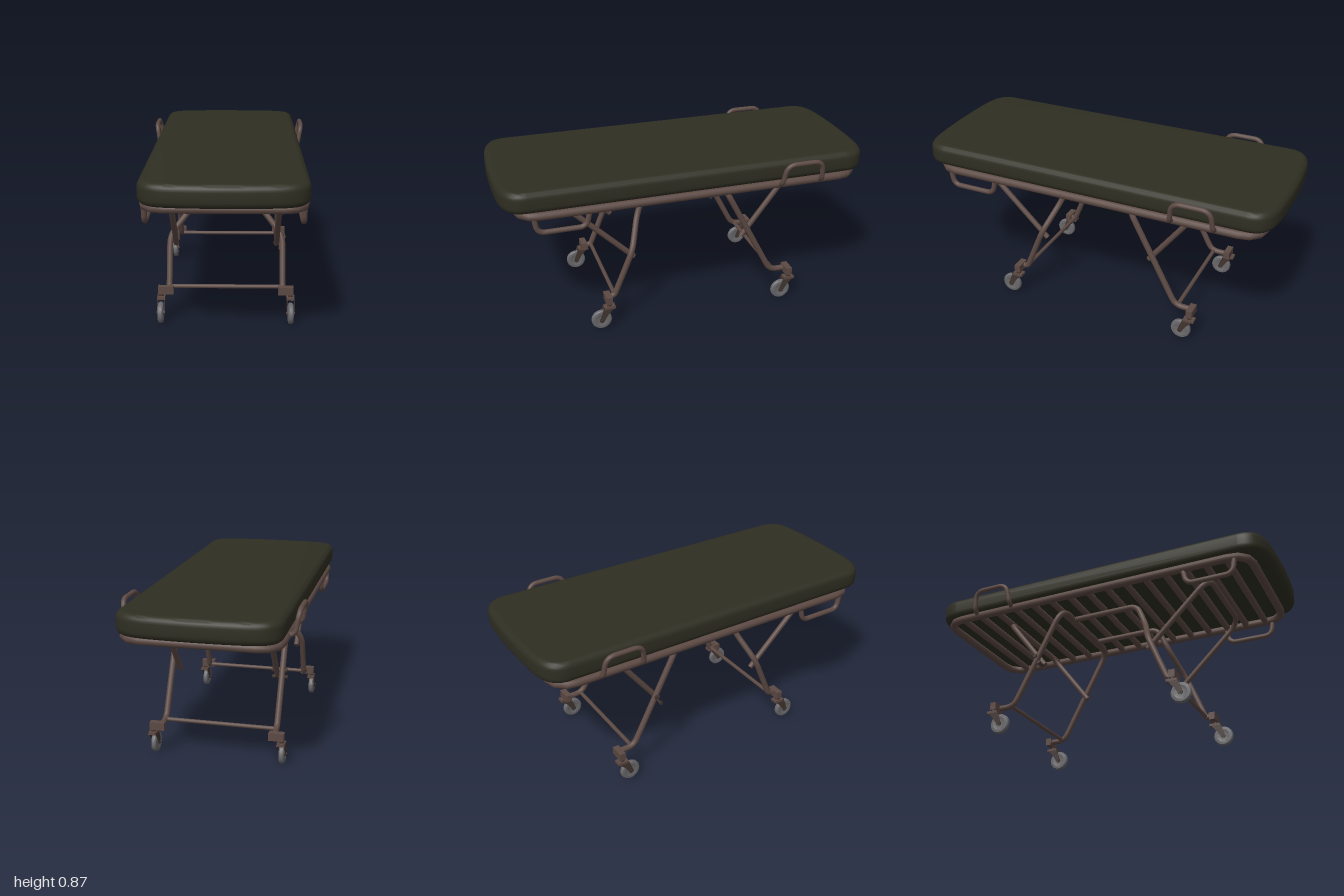
import * as THREE from 'three';
import { mergeGeometries, toCreasedNormals } from 'three/addons/utils/BufferGeometryUtils.js';

const material = (name, color) => {
  const m = new THREE.MeshStandardMaterial({ color });
  m.name = name;
  return m;
};

// Polyline with rounded corners
function roundedPath(points, bend) {
  const p = points.map((a) => new THREE.Vector3(...a));
  const path = new THREE.CurvePath();
  let from = p[0];
  for (let i = 1; i < p.length - 1; i++) {
    const toPrev = p[i - 1].clone().sub(p[i]);
    const toNext = p[i + 1].clone().sub(p[i]);
    const r = Math.min(bend, toPrev.length() * 0.48, toNext.length() * 0.48);
    const a = p[i].clone().addScaledVector(toPrev.normalize(), r);
    const b = p[i].clone().addScaledVector(toNext.normalize(), r);
    path.add(new THREE.LineCurve3(from, a));
    path.add(new THREE.QuadraticBezierCurve3(a, p[i], b));
    from = b;
  }
  path.add(new THREE.LineCurve3(from, p[p.length - 1]));
  return path;
}

// Bent pipe with closed ends
function pipeGeometry(points, radius, bend, closed) {
  const path = roundedPath(points, bend);
  const parts = [new THREE.TubeGeometry(path, points.length > 2 ? 90 : 1, radius, 14, closed)];
  if (!closed) {
    for (const [t, s] of [[0, -1], [1, 1]]) {
      const dir = path.getTangentAt(t).multiplyScalar(s);
      const q = new THREE.Quaternion().setFromUnitVectors(new THREE.Vector3(0, 0, 1), dir);
      const end = path.getPointAt(t);
      parts.push(new THREE.CircleGeometry(radius, 14).applyQuaternion(q).translate(end.x, end.y, end.z));
    }
  }
  return mergeGeometries(parts);
}

// Mattress: rounded outline with slightly bowed ends and a soft bevel
function mattressGeometry() {
  const b = 0.035, w = 0.4 - b, l = 1 - b;
  const s = new THREE.Shape();
  s.moveTo(w, -l + 0.11);
  s.lineTo(w, l - 0.11);
  s.bezierCurveTo(w, l - 0.04, w - 0.04, l - 0.02, w - 0.13, l - 0.01);
  s.quadraticCurveTo(0, l + 0.008, -w + 0.13, l - 0.01);
  s.bezierCurveTo(-w + 0.04, l - 0.02, -w, l - 0.04, -w, l - 0.11);
  s.lineTo(-w, -l + 0.11);
  s.bezierCurveTo(-w, -l + 0.04, -w + 0.04, -l + 0.02, -w + 0.13, -l + 0.01);
  s.quadraticCurveTo(0, -l - 0.008, w - 0.13, -l + 0.01);
  s.bezierCurveTo(w - 0.04, -l + 0.02, w, -l + 0.04, w, -l + 0.11);
  const g = new THREE.ExtrudeGeometry(s, {
    depth: 0.115 - 2 * b, bevelThickness: b, bevelSize: b, bevelSegments: 6, curveSegments: 14,
  });
  g.rotateX(-Math.PI / 2).translate(0, 0.758 + b, 0);
  return toCreasedNormals(g, 0.7);
}

export function createModel() {
  const model = new THREE.Group();
  model.name = 'stretcher';
  const green = material('dark olive padding', 0x2f2e22);
  const brown = material('brown metal', 0x5c4943);
  const dark = material('dark fittings', 0x41342f);
  const grey = material('grey rubber', 0x68686b);

  const add = (name, geometry, mat, parent = model) => {
    const mesh = new THREE.Mesh(geometry, mat);
    mesh.name = name;
    parent.add(mesh);
    return mesh;
  };
  const pipe = (name, points, radius, bend = 0.05, closed = false) =>
    add(name, pipeGeometry(points, radius, bend, closed), brown);
  const box = (name, size, pos, mat, parent) => {
    const m = add(name, new THREE.BoxGeometry(...size), mat, parent);
    m.position.set(...pos);
    return m;
  };
  // Cylinder lying along x
  const axle = (name, r, len, pos, mat, parent, sides = 12) => {
    const m = add(name, new THREE.CylinderGeometry(r, r, len, sides).rotateZ(Math.PI / 2), mat, parent);
    m.position.set(...pos);
    return m;
  };

  add('mattress', mattressGeometry(), green);

  // Bed frame and slats
  const fy = 0.737, fx = 0.378, fz = 0.9, bz = -0.923;
  pipe('bedFrame', [[0, fy, fz], [fx, fy, fz], [fx, fy, bz], [-fx, fy, bz], [-fx, fy, fz], [0, fy, fz]],
    0.022, 0.11, true);
  const slats = 15;
  for (let i = 1; i <= slats; i++) {
    const z = fz + ((bz - fz) * i) / (slats + 1);
    pipe('slat', [[-fx, fy, z], [fx, fy, z]], 0.018);
  }

  // Back legs and both strut hoops
  const hoop = (name, x, top, foot, r, extra = []) => {
    const right = [[x, ...foot], [x, ...top]];
    pipe(name, [...extra.map(([y, z]) => [x, y, z]), ...right,
      ...right.map(([a, y, z]) => [-a, y, z]).reverse(),
      ...extra.map(([y, z]) => [-x, y, z]).reverse()], r, 0.085);
  };
  hoop('backLegs', 0.299, [0.71, -0.2], [0.165, -0.485], 0.016, [[0.165, -0.575]]);
  hoop('backStrut', 0.268, [0.715, -0.56], [0.395, -0.315], 0.015);
  hoop('frontStrut', 0.268, [0.715, 0.655], [0.37, 0.3], 0.015);

  for (const s of [1, -1]) {
    // Front leg: kinks inward and runs back under the bed
    pipe('frontLeg', [[s * 0.299, 0.165, 0.46], [s * 0.299, 0.165, 0.42], [s * 0.299, 0.42, 0.315],
      [s * 0.175, 0.57, 0.253], [s * 0.155, 0.708, 0.195], [s * 0.155, 0.708, -0.2]], 0.016, 0.05);

    // Grab handle rising beside the mattress
    const rise = (z, lean) => [[0.385, 0.737, z], [0.42, 0.755, z], [0.438, 0.862, z + lean]];
    pipe('sideHandle', [...rise(-0.477, -0.015), ...rise(-0.703, 0.012).reverse()]
      .map(([x, y, z]) => [s * x, y, z]), 0.013, 0.05);

    // Carry handle hanging below the frame
    pipe('lowerHandle', [[0.73, 0.828], [0.645, 0.815], [0.645, 0.565], [0.73, 0.548]]
      .map(([y, z]) => [s * 0.375, y, z]), 0.014, 0.07);
  }

  // Lower crossbars
  for (const z of [0.42, -0.5]) pipe('lowerCrossbar', [[-0.3, 0.17, z], [0.3, 0.17, z]], 0.011);

  // Pivot bolts where the right legs meet their struts
  for (const [y, z] of [[0.437, -0.35], [0.393, -0.325]]) {
    axle('pivotBolt', 0.006, 0.08, [-0.284, y, z], dark);
    for (const x of [-0.319, -0.249]) axle('boltHead', 0.011, 0.012, [x, y, z], dark, model, 6);
  }

  // Casters
  const wheelProfile = [[0.012, -0.013], [0.032, -0.013], [0.036, -0.015], [0.05, -0.013], [0.055, -0.007],
    [0.055, 0.007], [0.05, 0.013], [0.036, 0.015], [0.032, 0.013], [0.012, 0.013]]
    .map(([r, h]) => new THREE.Vector2(r, h));
  const wheelGeometry = toCreasedNormals(new THREE.LatheGeometry(wheelProfile, 28).rotateZ(Math.PI / 2), 0.6);

  // Fork cheek, drawn in the z-y plane from the swivel down to the axle
  const cheek = new THREE.Shape();
  cheek.moveTo(-0.032, 0.133);
  cheek.lineTo(0.03, 0.133);
  cheek.lineTo(0.058, 0.055);
  cheek.absarc(0.045, 0.055, 0.014, 0, -Math.PI, true);
  cheek.lineTo(0.012, 0.085);
  cheek.closePath();
  const cheekGeometry = new THREE.ExtrudeGeometry(cheek, { depth: 0.004, bevelEnabled: false })
    .rotateY(-Math.PI / 2).translate(0.002, 0, 0);

  for (const s of [1, -1]) {
    for (const z of [0.46, -0.582]) {
      const caster = new THREE.Group();
      caster.name = 'caster';
      caster.position.set(s * 0.34, 0, z);
      model.add(caster);
      box('casterBlock', [0.08, 0.042, 0.034], [-s * 0.025, 0.164, 0], brown, caster);
      const stem = add('swivelStem', new THREE.CylinderGeometry(0.014, 0.014, 0.03, 14), dark, caster);
      stem.position.y = 0.138;
      box('forkTop', [0.042, 0.014, 0.06], [0, 0.126, 0], brown, caster);
      for (const side of [-1, 1]) {
        const m = add('forkCheek', cheekGeometry, dark, caster);
        m.position.x = side * 0.018;
      }
      const hub = [0, 0.055, 0.045];
      axle('wheelAxle', 0.007, 0.046, hub, dark, caster);
      axle('wheelHub', 0.013, 0.028, hub, dark, caster, 16);
      const wheel = add('wheel', wheelGeometry, grey, caster);
      wheel.position.set(...hub);
    }
  }
  return model;
}
